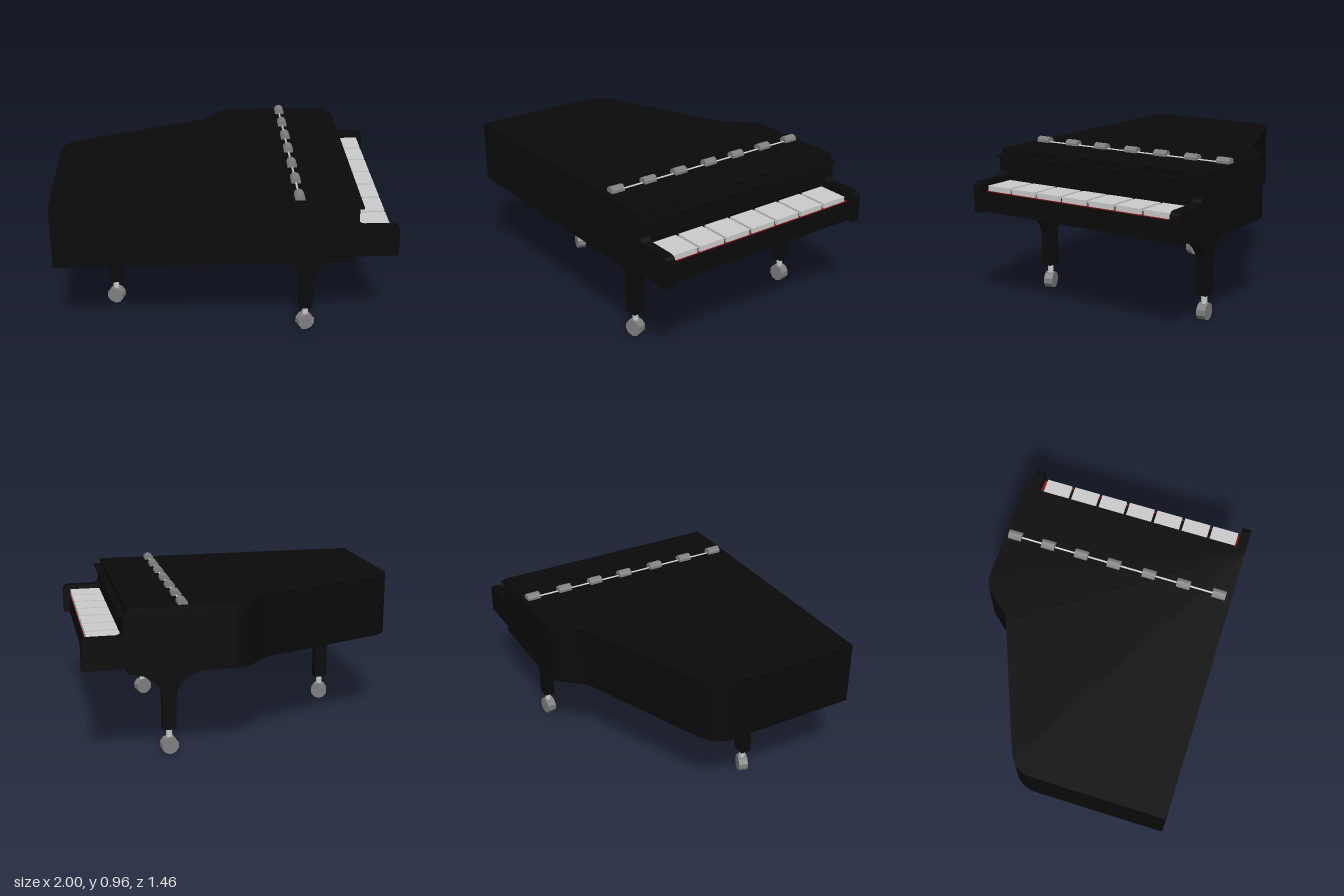
import * as THREE from 'three';

const material = (color, flatShading = false) => new THREE.MeshStandardMaterial({ color, flatShading });

export function createModel() {
  const model = new THREE.Group();
  model.name = 'grandPiano';
  const black = material(0x0a0a0a, true);
  const metal = material(0x808080, true);
  const light = material(0xcccccc, true);
  const red = material(0x8a1010);

  const add = (name, geometry, mat, x = 0, y = 0, z = 0, parent = model) => {
    const mesh = new THREE.Mesh(geometry, mat);
    mesh.name = name;
    mesh.position.set(x, y, z);
    parent.add(mesh);
    return mesh;
  };
  // Box given by its minimum and maximum corners
  const box = (name, mat, [x0, y0, z0], [x1, y1, z1]) =>
    add(name, new THREE.BoxGeometry(x1 - x0, y1 - y0, z1 - z0), mat,
      (x0 + x1) / 2, (y0 + y1) / 2, (z0 + z1) / 2);
  const extrude = (shape, depth) =>
    new THREE.ExtrudeGeometry(shape, { depth, bevelEnabled: false, curveSegments: 8 });

  // Curved case outline seen from above (shape y becomes z)
  const outline = new THREE.Shape();
  outline.moveTo(0.74, 0.725);
  outline.lineTo(-1, 0.725);
  outline.lineTo(-1, -0.08);
  outline.bezierCurveTo(-1, -0.16, -0.95, -0.21, -0.88, -0.24);
  outline.lineTo(-0.14, -0.535);
  outline.quadraticCurveTo(-0.1, -0.55, -0.07, -0.585);
  outline.lineTo(0.01, -0.68);
  outline.quadraticCurveTo(0.05, -0.73, 0.12, -0.73);
  outline.lineTo(0.74, -0.73);
  const slab = (name, bottom, top) =>
    add(name, extrude(outline, top - bottom).rotateX(Math.PI / 2), black, 0, top, 0);
  slab('case', 0.545, 0.9);
  slab('lid', 0.9, 0.93);

  // Cheeks at both ends of the keyboard
  const cheek = new THREE.Shape();
  cheek.moveTo(0.74, 0.58);
  cheek.lineTo(1, 0.58);
  cheek.lineTo(1, 0.73);
  cheek.quadraticCurveTo(1, 0.765, 0.96, 0.765);
  cheek.lineTo(0.8, 0.765);
  cheek.quadraticCurveTo(0.76, 0.77, 0.76, 0.81);
  cheek.lineTo(0.76, 0.89);
  cheek.lineTo(0.74, 0.89);
  add('leftCheek', extrude(cheek, 0.06), black, 0, 0, -0.73);
  add('rightCheek', extrude(cheek, 0.06), black, 0, 0, 0.665);

  // Key bed, fallboard and its lip
  box('keyBed', black, [0.74, 0.58, -0.67], [0.963, 0.704, 0.665]);
  box('fallboard', black, [0.74, 0.704, -0.67], [0.76, 0.89, 0.665]);
  box('fallboardLip', black, [0.74, 0.885, -0.73], [0.785, 0.896, 0.725]);
  box('felt', red, [0.76, 0.704, -0.665], [0.958, 0.709, 0.66]);

  // Keys
  for (let i = 0; i < 7; i++) {
    const z = 0.004 + (i - 3) * 0.187;
    box('key', light, [0.76, 0.707, z - 0.084], [0.955, 0.741, z + 0.084]);
    if (i < 6) box('keyGap', black, [0.76, 0.707, z + 0.085], [0.94, 0.725, z + 0.102]);
  }

  // Lid hinge: a rod with seven barrels
  add('hingeRod', new THREE.CylinderGeometry(0.006, 0.006, 1.38, 8).rotateX(Math.PI / 2), light, 0.42, 0.931, -0.01);
  const barrel = new THREE.CylinderGeometry(0.03, 0.03, 0.084, 10).rotateX(Math.PI / 2);
  for (const z of [0.645, 0.42, 0.2, -0.025, -0.235, -0.45, -0.665]) add('hinge', barrel, metal, 0.42, 0.935, z);

  // Leg profile with a flared bracket, mirrored about its centre line
  const half = [[0.04, 0.155], [0.04, 0.36], [0.05, 0.4], [0.07, 0.435], [0.1, 0.465], [0.14, 0.49], [0.195, 0.505], [0.195, 0.55]];
  const points = [...half, ...half.map(([x, y]) => [-x, y]).reverse()];
  const legGeometry = extrude(new THREE.Shape(points.map(([x, y]) => new THREE.Vector2(x, y))), 0.065)
    .translate(0, 0, -0.0325);
  const stem = new THREE.CylinderGeometry(0.018, 0.018, 0.1, 10);
  const wheel = new THREE.CylinderGeometry(0.053, 0.053, 0.056, 10).rotateX(Math.PI / 2);

  const legs = [['frontLeg', 0.49, 0.572, 0.34], ['backLeg', 0.49, -0.58, 0.1], ['tailLeg', -0.677, 0.215, -0.34]];
  for (const [name, x, z, turn] of legs) {
    const leg = new THREE.Group();
    leg.name = name;
    leg.position.set(x, 0, z);
    add('post', legGeometry, black, 0, 0, 0, leg);
    add('casterStem', stem, light, 0, 0.115, 0, leg);
    add('casterWheel', wheel, metal, 0, 0.053, 0, leg).rotation.y = turn;
    model.add(leg);
  }
  return model;
}
